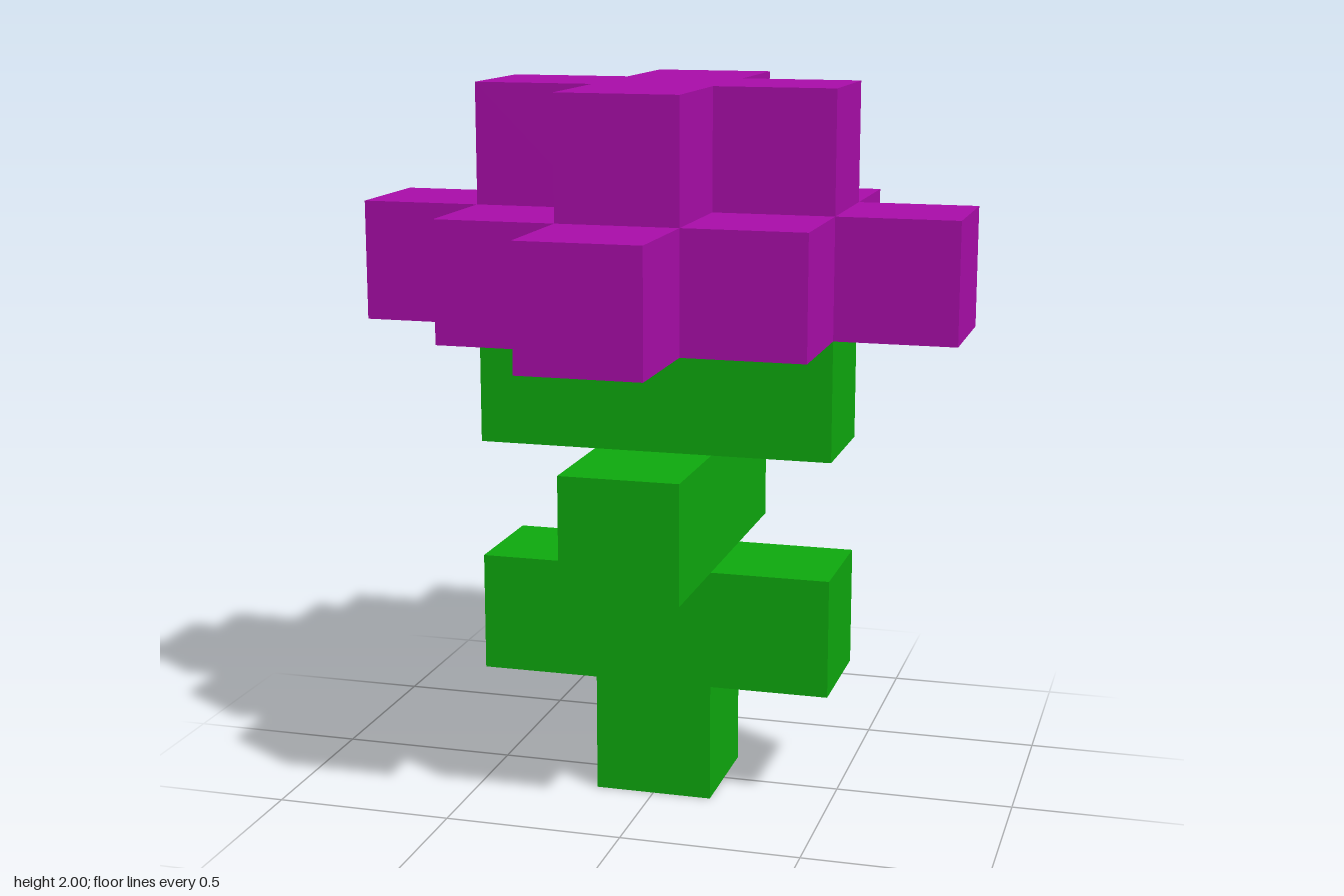
import * as THREE from 'three';

const U = 1 / 3; // edge of one cube

export function createModel() {
  const model = new THREE.Group();
  model.name = 'blockFlower';
  const green = new THREE.MeshStandardMaterial({ color: 0x0eaa0e, flatShading: true });
  const purple = new THREE.MeshStandardMaterial({ color: 0xaa0daa, flatShading: true });

  // A bar of cubes lying in the given layer
  function addBar(name, layer, nx, nz) {
    const mesh = new THREE.Mesh(new THREE.BoxGeometry(nx * U, U, nz * U), green);
    mesh.name = name;
    mesh.position.y = (layer + 0.5) * U;
    model.add(mesh);
  }

  // A stepped slab: one quarter of its outline, turned four times
  function addSlab(name, layer, quarter) {
    const points = [];
    for (let turn = 0; turn < 4; turn++) {
      for (const [x, y] of quarter) {
        points.push(new THREE.Vector2(x * U, y * U)
          .rotateAround(new THREE.Vector2(), turn * Math.PI / 2));
      }
    }
    const geometry = new THREE.ExtrudeGeometry(new THREE.Shape(points), { depth: U, bevelEnabled: false });
    geometry.rotateX(-Math.PI / 2);
    const mesh = new THREE.Mesh(geometry, purple);
    mesh.name = name;
    mesh.position.y = layer * U;
    model.add(mesh);
  }

  // Stem with leaf bars that alternate in direction
  addBar('stemBase', 0, 1, 1);
  addBar('lowerLeaves', 1, 3, 1);
  addBar('middleLeaves', 2, 1, 3);
  addBar('upperLeaves', 3, 3, 1);

  // Blossom: wide stepped diamond below a plus
  addSlab('outerPetals', 4, [[2.5, 0.5], [1.5, 0.5], [1.5, 1.5], [0.5, 1.5], [0.5, 2.5]]);
  addSlab('innerPetals', 5, [[1.5, 0.5], [0.5, 0.5], [0.5, 1.5]]);

  return model;
}
